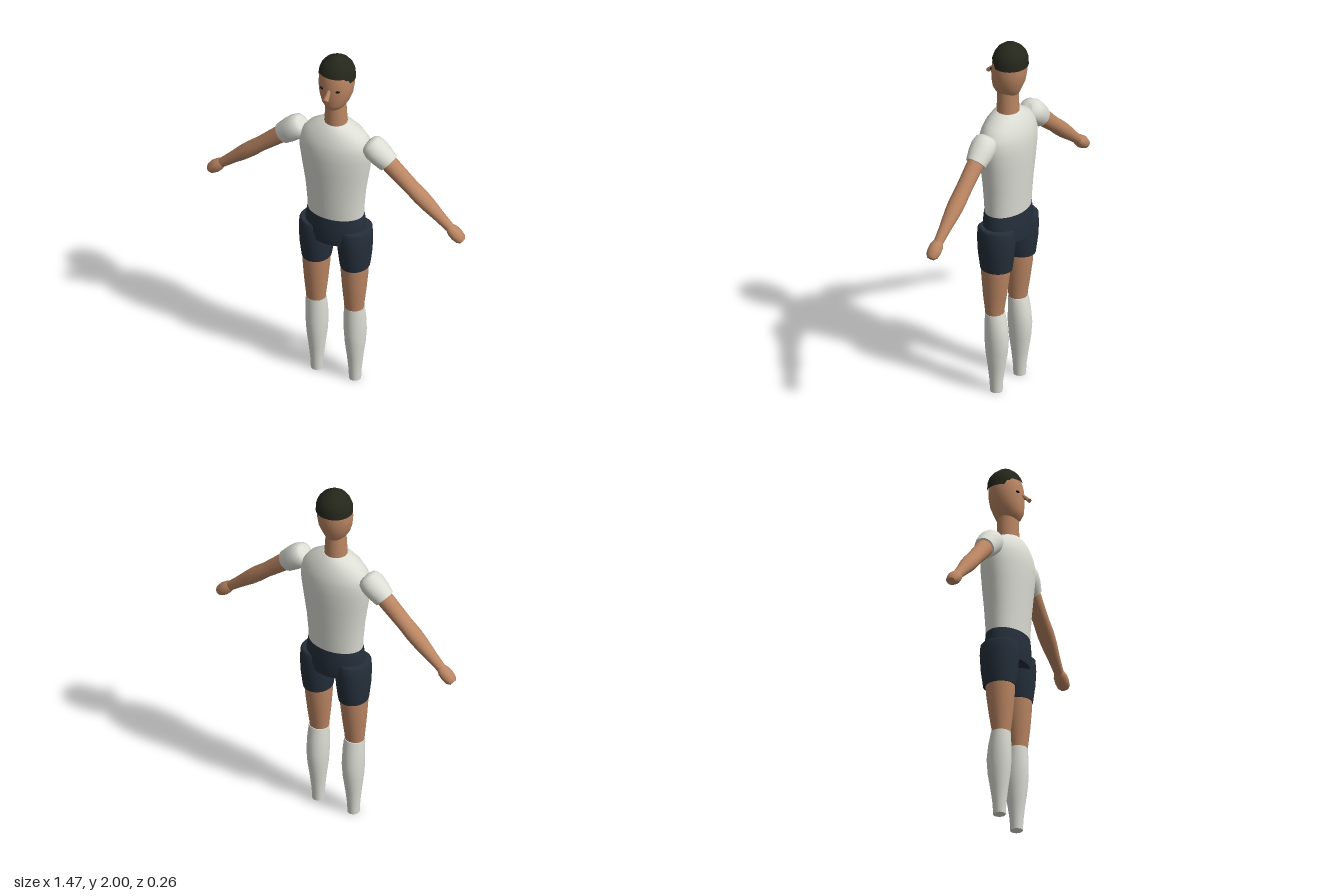
import * as THREE from 'three';

const mat = (name, color) => Object.assign(new THREE.MeshStandardMaterial({ color }), { name });

// Closed loft through elliptical rings [y, rx, rz, z offset], listed from top to bottom
function loft(rings, seg = 28, lowerCap = true) {
  const pos = [], idx = [];
  const addRing = ([y, rx, rz, z = 0]) => {
    for (let i = 0; i < seg; i++) {
      const a = (i / seg) * Math.PI * 2;
      pos.push(rx * Math.cos(a), y, z + rz * Math.sin(a));
    }
  };
  rings.forEach(addRing);
  for (let j = 0; j < rings.length - 1; j++) {
    for (let i = 0; i < seg; i++) {
      const n = (i + 1) % seg;
      const a = j * seg + i, b = j * seg + n, c = a + seg, d = b + seg;
      idx.push(c, a, b, c, b, d);
    }
  }
  const cap = (ring, up) => {
    const start = pos.length / 3;
    addRing(ring);
    pos.push(0, ring[0], ring[3] || 0);
    for (let i = 0; i < seg; i++) {
      const a = start + i, b = start + (i + 1) % seg;
      idx.push(start + seg, up ? b : a, up ? a : b);
    }
  };
  cap(rings[0], true);
  if (lowerCap) cap(rings[rings.length - 1], false);
  const g = new THREE.BufferGeometry();
  g.setAttribute('position', new THREE.Float32BufferAttribute(pos, 3));
  g.setIndex(idx);
  g.computeVertexNormals();
  return g;
}

export function createModel() {
  const model = new THREE.Group();
  model.name = 'standingMan';
  const skin = mat('skin', 0xba8562);
  const white = mat('white cloth', 0xdcded5);
  const navy = mat('navy cloth', 0x252f3b);
  const hairMat = mat('dark hair', 0x25271c);
  const eyeMat = mat('eye black', 0x14120f);

  const add = (name, geo, material, parent = model) => {
    const m = new THREE.Mesh(geo, material);
    m.name = name;
    parent.add(m);
    return m;
  };

  // Shirt body, hips and neck
  add('shirt', loft([
    [1.605, 0.065, 0.062], [1.59, 0.095, 0.078], [1.555, 0.153, 0.1], [1.51, 0.188, 0.116],
    [1.47, 0.2, 0.124], [1.41, 0.198, 0.128], [1.32, 0.184, 0.123], [1.2, 0.165, 0.114],
    [1.1, 0.156, 0.108], [1.035, 0.153, 0.104],
  ], 36), white);
  add('hips', loft([
    [1.04, 0.155, 0.106], [0.98, 0.166, 0.11], [0.93, 0.166, 0.112], [0.88, 0.14, 0.107],
  ], 36), navy);
  add('neck', loft([
    [1.72, 0.053, 0.056], [1.66, 0.057, 0.057], [1.595, 0.062, 0.06],
  ]), skin);

  // Head
  add('head', loft([
    [1.985, 0.03, 0.03, -0.014], [1.965, 0.06, 0.058, -0.014], [1.93, 0.083, 0.08, -0.012],
    [1.89, 0.092, 0.09, -0.011], [1.84, 0.094, 0.093, -0.008], [1.79, 0.087, 0.089, -0.004],
    [1.745, 0.07, 0.079, 0.004], [1.715, 0.05, 0.067, 0.005], [1.695, 0.03, 0.045, 0.005],
    [1.687, 0.012, 0.02, 0.005],
  ], 32), skin);

  // Hair cap, with a fringe stepped up over the forehead
  const hairGeo = loft([
    [2.0, 0.012, 0.012, -0.014], [1.993, 0.034, 0.034, -0.014], [1.97, 0.066, 0.065, -0.015],
    [1.945, 0.085, 0.083, -0.016], [1.92, 0.094, 0.091, -0.016], [1.878, 0.098, 0.093, -0.015],
  ], 48, false);
  const hp = hairGeo.attributes.position;
  for (let i = 0; i < hp.count; i++) {
    if (hp.getY(i) < 1.88 && hp.getZ(i) > 0.03) hp.setY(i, hp.getZ(i) > 0.045 ? 1.913 : 1.9);
  }
  hairGeo.computeVertexNormals();
  add('hair', hairGeo, hairMat);

  // Nose: a short tapered peg tilted forward
  const nose = add('nose', new THREE.CylinderGeometry(0.009, 0.016, 0.06, 8), skin);
  nose.position.set(0, 1.822, 0.1);
  nose.rotation.x = -0.8;
  nose.scale.z = 0.7;

  for (const s of [1, -1]) {
    const side = s > 0 ? 'left' : 'right';

    // Eye
    const eye = add(side + 'Eye', new THREE.SphereGeometry(1, 12, 8), eyeMat);
    eye.scale.set(0.012, 0.007, 0.004);
    eye.position.set(0.046 * s, 1.842, 0.075);
    eye.rotation.y = 0.5 * s;

    // Arm, modelled hanging down and swung outward
    const arm = new THREE.Group();
    arm.name = side + 'Arm';
    arm.position.set(0.2 * s, 1.513, 0);
    arm.rotation.z = 0.86 * s;
    model.add(arm);
    add(side + 'Sleeve', loft([
      [0.02, 0.025, 0.025], [0.015, 0.045, 0.045], [0, 0.06, 0.06], [-0.035, 0.066, 0.068],
      [-0.08, 0.064, 0.065], [-0.135, 0.057, 0.053],
    ]), white, arm);
    add(side + 'Forearm', loft([
      [-0.1, 0.046, 0.044], [-0.16, 0.046, 0.044], [-0.23, 0.043, 0.043], [-0.3, 0.039, 0.043],
      [-0.37, 0.041, 0.045], [-0.43, 0.039, 0.041], [-0.52, 0.03, 0.031], [-0.61, 0.024, 0.024],
    ]), skin, arm);
    add(side + 'Hand', loft([
      [-0.59, 0.022, 0.025], [-0.615, 0.031, 0.036], [-0.645, 0.034, 0.037],
      [-0.675, 0.028, 0.033], [-0.69, 0.017, 0.02],
    ]), skin, arm);

    // Leg
    const leg = new THREE.Group();
    leg.name = side + 'Leg';
    leg.position.x = 0.109 * s;
    model.add(leg);
    add(side + 'ShortsLeg', loft([
      [0.965, 0.08, 0.09], [0.955, 0.088, 0.1], [0.9, 0.09, 0.104], [0.82, 0.088, 0.099],
      [0.74, 0.079, 0.088], [0.724, 0.076, 0.086],
    ]), navy, leg);
    add(side + 'Thigh', loft([
      [0.76, 0.073, 0.077, 0.005], [0.68, 0.071, 0.075, 0.005], [0.57, 0.062, 0.063, 0.008],
      [0.48, 0.053, 0.05, 0.01], [0.445, 0.051, 0.048, 0.01],
    ]), skin, leg);
    add(side + 'Sock', loft([
      [0.46, 0.054, 0.051, 0.008], [0.39, 0.058, 0.06, 0.002], [0.31, 0.058, 0.066, -0.002],
      [0.23, 0.053, 0.06, -0.002], [0.14, 0.042, 0.046, -0.001], [0.06, 0.034, 0.036, 0],
      [0, 0.031, 0.033, 0],
    ]), white, leg);
  }
  return model;
}
